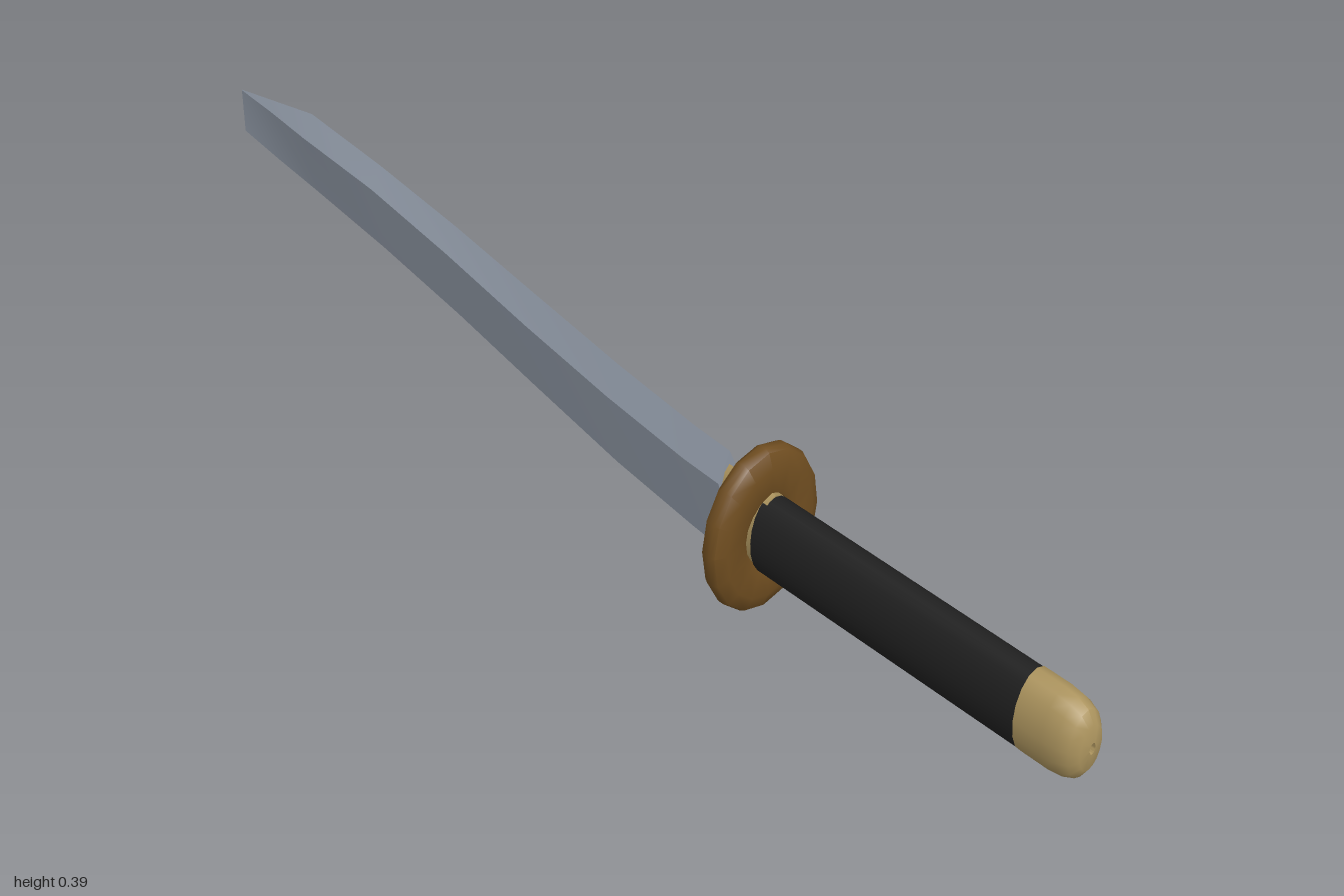
import * as THREE from 'three';
import { toCreasedNormals } from 'three/addons/utils/BufferGeometryUtils.js';

const CENTRE_Y = 0.153; // height of the handle axis

const material = (name, color) => {
  const m = new THREE.MeshStandardMaterial({ color });
  m.name = name;
  return m;
};

// Oval solid along z: profile is [radius factor, z], scaled to half width and half height
function ovalLathe(name, profile, halfW, halfH, sides, mat) {
  const g = new THREE.LatheGeometry(profile.map(([r, z]) => new THREE.Vector2(r, z)), sides);
  g.rotateX(Math.PI / 2);
  g.scale(halfW, halfH, 1);
  g.translate(0, CENTRE_Y, 0);
  const mesh = new THREE.Mesh(toCreasedNormals(g, 0.75), mat);
  mesh.name = name;
  return mesh;
}

// Kite-section blade lofted along z
function bladeGeometry() {
  // z, spine y, shoulder y, edge y, half width
  const stations = [
    [0.26, 0.258, 0.205, 0.058, 0.022],
    [0.18, 0.263, 0.209, 0.066, 0.022],
    [0.0, 0.285, 0.231, 0.091, 0.022],
    [-0.2, 0.317, 0.265, 0.132, 0.022],
    [-0.4, 0.350, 0.305, 0.175, 0.022],
    [-0.6, 0.376, 0.338, 0.211, 0.022],
    [-0.79, 0.393, 0.354, 0.238, 0.022],
    [-0.9, 0.371, 0.354, 0.252, 0.011],
    [-1.0, 0.351, 0.350, 0.267, 0.0005],
  ];
  const positions = [];
  for (const [z, spine, shoulder, edge, w] of stations) {
    positions.push(0, spine, z, -w, shoulder, z, 0, edge, z, w, shoulder, z);
  }
  const index = [];
  for (let i = 0; i < stations.length - 1; i++) {
    for (let k = 0; k < 4; k++) {
      const a = i * 4 + k, b = i * 4 + (k + 1) % 4;
      index.push(a, a + 4, b, b, a + 4, b + 4);
    }
  }
  const t = (stations.length - 1) * 4;
  index.push(0, 1, 2, 0, 2, 3, t, t + 2, t + 1, t, t + 3, t + 2);
  const g = new THREE.BufferGeometry();
  g.setAttribute('position', new THREE.Float32BufferAttribute(positions, 3));
  g.setIndex(index);
  return toCreasedNormals(g, 0.22);
}

export function createModel() {
  const steel = material('steel', 0x8e97a4);
  const brass = material('brass', 0xac945e);
  const bronze = material('bronze', 0x6f4d20);
  const wrap = material('black wrap', 0x202020);

  const sword = new THREE.Group();
  sword.name = 'sword';

  const blade = new THREE.Mesh(bladeGeometry(), steel);
  blade.name = 'blade';

  // Grip and rounded end cap
  const grip = ovalLathe('grip', [[0, 0.352], [1, 0.352], [1, 0.895], [0, 0.895]], 0.041, 0.075, 20, wrap);
  const pommel = ovalLathe('pommel',
    [[0, 0.888], [1, 0.888], [1, 0.94], [0.95, 0.965], [0.82, 0.985], [0.55, 0.997], [0.14, 1], [0.14, 0.985]],
    0.042, 0.077, 16, brass);
  const tangEnd = ovalLathe('tangEnd', [[0.2, 0.95], [0.2, 0.988], [0, 0.988]], 0.042, 0.077, 8, steel);

  // Oval guard with an open centre
  const guard = ovalLathe('guard',
    [[0.4, 0.318], [0.5, 0.311], [0.8, 0.311], [0.97, 0.318], [1, 0.325], [1, 0.337],
      [0.97, 0.345], [0.8, 0.354], [0.5, 0.354], [0.4, 0.347], [0.4, 0.318]],
    0.113, 0.1525, 16, bronze);

  // Collar at the root of the blade and the ferrule under the grip
  const collar = ovalLathe('collar', [[0, 0.255], [1, 0.255], [1, 0.345], [0, 0.345]], 0.019, 0.08, 12, brass);
  const ferrule = ovalLathe('ferrule', [[0, 0.335], [1, 0.335], [1, 0.362], [0, 0.362]], 0.036, 0.078, 16, brass);

  sword.add(blade, grip, pommel, tangEnd, guard, collar, ferrule);
  return sword;
}
